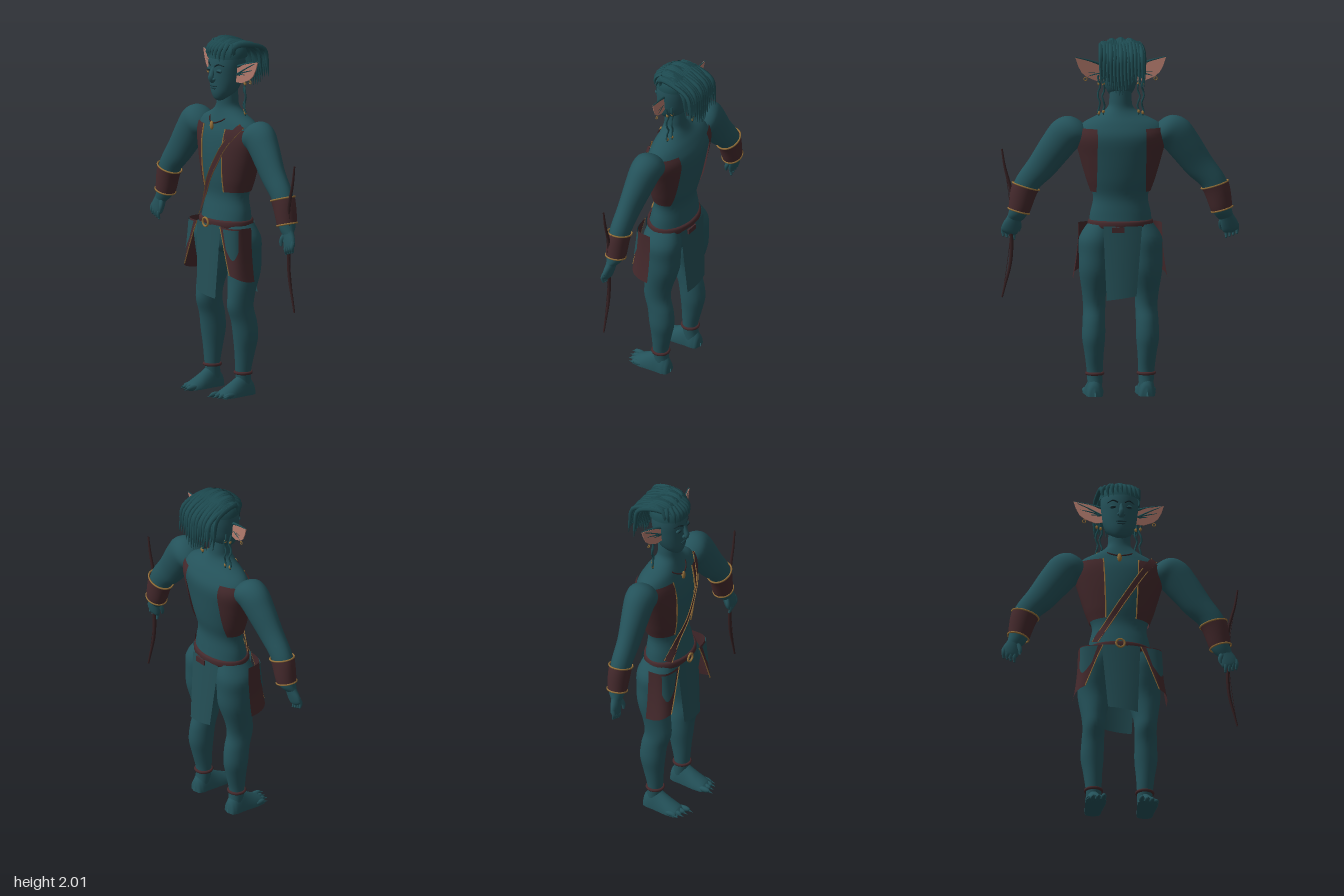
import * as THREE from 'three';

const V = (x, y, z) => new THREE.Vector3(x, y, z);
const lerp = THREE.MathUtils.lerp;

// Smooth surface through rings [cx, cy, cz, rx, rz, tilt], listed bottom to top
function surface(rings) {
  const n = rings.length;
  const at = i => rings[Math.max(0, Math.min(n - 1, i))];
  return (t, a, off = 0) => {
    const s = t * (n - 1), i = Math.min(Math.floor(s), n - 2), f = s - i;
    const c = [0, 1, 2, 3, 4, 5].map(k => {
      const [p, q, r, w] = [-1, 0, 1, 2].map(d => at(i + d)[k] || 0);
      return q + 0.5 * f * (r - p + f * (2 * p - 5 * q + 4 * r - w + f * (3 * (q - r) + w - p)));
    });
    const u = (c[3] + off) * Math.cos(a);
    return V(c[0] + u * Math.cos(c[5]), c[1] + u * Math.sin(c[5]), c[2] + (c[4] + off) * Math.sin(a));
  };
}

// Grid of points f(u, v); closed joins the v seam
function grid(f, nu, nv, closed = false) {
  const pos = [], idx = [], cols = closed ? nv : nv + 1;
  for (let i = 0; i <= nu; i++)
    for (let j = 0; j < cols; j++) pos.push(...f(i / nu, j / nv).toArray());
  for (let i = 0; i < nu; i++)
    for (let j = 0; j < nv; j++) {
      const k = (j + 1) % cols, a = i * cols, b = a + cols;
      idx.push(a + j, b + j, a + k, b + j, b + k, a + k);
    }
  const g = new THREE.BufferGeometry();
  g.setAttribute('position', new THREE.Float32BufferAttribute(pos, 3));
  g.setIndex(idx);
  g.computeVertexNormals();
  return g;
}
const loft = (f, nu, nv, t0 = 0, t1 = 1, off = 0) =>
  grid((u, v) => f(lerp(t0, t1, u), v * Math.PI * 2, off), nu, nv, true);

// Tube along points with a varying radius
function strand(points, radius, seg = 12, sides = 6) {
  const curve = new THREE.CatmullRomCurve3(points);
  const g = new THREE.TubeGeometry(curve, seg, 1, sides), p = g.attributes.position;
  for (let i = 0; i <= seg; i++) {
    const c = curve.getPointAt(i / seg), r = radius(i / seg);
    for (let j = 0; j <= sides; j++) {
      const k = i * (sides + 1) + j, q = V(0, 0, 0).fromBufferAttribute(p, k).sub(c).multiplyScalar(r).add(c);
      p.setXYZ(k, q.x, q.y, q.z);
    }
  }
  g.computeVertexNormals();
  return g;
}
const blob = (x, y, z, rx, ry, rz) => new THREE.SphereGeometry(1, 14, 10).scale(rx, ry, rz).translate(x, y, z);

function mirrored(geo) {
  const g = geo.clone().scale(-1, 1, 1), ix = g.index;
  for (let i = 0; i < ix.count; i += 3) {
    const a = ix.getX(i + 1);
    ix.setX(i + 1, ix.getX(i + 2));
    ix.setX(i + 2, a);
  }
  return g;
}

export function createModel() {
  const root = new THREE.Group();
  const mat = (name, color) => Object.assign(new THREE.MeshStandardMaterial({ color, side: THREE.DoubleSide }), { name });
  const skin = mat('teal skin', 0x24525a), hair = mat('dark teal hair', 0x1d4a50);
  const cloth = mat('teal cloth', 0x244f56), leather = mat('brown leather', 0x44292c);
  const wood = mat('dark wood', 0x342022), gold = mat('gold', 0x94703a);
  const pink = mat('pink inner ear', 0xb57c6e), dark = mat('dark eye', 0x10262b), lip = mat('dark lip', 0x1a3f46);
  const add = (name, geo, m) => {
    const mesh = new THREE.Mesh(geo, m);
    mesh.name = name;
    root.add(mesh);
  };
  const pair = (name, geo, m) => {
    add(name + 'Left', geo, m);
    add(name + 'Right', mirrored(geo), m);
  };

  // Torso and neck
  const torso = surface([
    [0, .78, -.01, .02, .02], [0, .82, -.01, .12, .09], [0, .88, -.005, .18, .11], [0, .96, -.002, .175, .118],
    [0, 1.03, -.005, .168, .108], [0, 1.12, -.01, .152, .096], [0, 1.22, -.015, .183, .113], [0, 1.35, -.022, .22, .125],
    [0, 1.46, -.03, .245, .125], [0, 1.53, -.025, .215, .1], [0, 1.58, -.015, .12, .075], [0, 1.62, -.01, .07, .062],
    [0, 1.67, -.008, .062, .06], [0, 1.74, -.005, .06, .06]]);
  add('torso', loft(torso, 52, 36), skin);
  const tAt = y => {
    let a = 0, b = 1;
    for (let i = 0; i < 25; i++) { const m = (a + b) / 2; if (torso(m, 0).y < y) a = m; else b = m; }
    return a;
  };
  const angleAt = (t, x) => Math.acos(Math.max(-1, Math.min(1, x / torso(t, 0).x)));

  // Open vest halves with stitched edges
  const vest = (u, v) => {
    const t = tAt(lerp(1.15, 1.51, u));
    return torso(t, lerp(-angleAt(t, .13), angleAt(t, lerp(.08, .095, u)), v), .009);
  };
  pair('vest', grid(vest, 20, 20), leather);
  const edge = [0, .25, .5, .75, 1];
  pair('vestTrim', strand(edge.map(u => vest(u, 1)), () => .004, 20, 5), gold);

  // Diagonal chest strap
  const strap = (u, v) => {
    const x = lerp(-.145, .19, u) - .85 * v, y = lerp(1.0, 1.535, u) + .53 * v, t = tAt(y);
    return V(x, y, torso(t, angleAt(t, x)).z + .018);
  };
  add('chestStrap', grid((u, v) => strap(u, lerp(.019, -.019, v)), 30, 2), leather);
  for (const s of [-.016, .016])
    add('strapStitching', strand([0, .2, .4, .6, .8, 1].map(u => strap(u, s).add(V(0, 0, .002))), () => .0025, 24, 4), gold);

  // Belt and buckle
  const belt = surface([[0, .948, 0, .17, .12], [0, .955, 0, .182, .13], [0, .985, 0, .18, .13], [0, .992, 0, .168, .118]]);
  add('belt', loft(belt, 8, 36), leather);
  add('buckle', new THREE.TorusGeometry(.024, .006, 8, 20).translate(-.01, .972, .137), gold);
  add('beltTab', new THREE.BoxGeometry(.07, .03, .012).translate(.02, .945, -.133), leather);

  // Loincloth front and back
  for (const s of [1, -1])
    add(s > 0 ? 'frontLoincloth' : 'backLoincloth', grid((u, v) => {
      const k = v * 2 - 1;
      return V(lerp(k * .108 - .005, k * .083 + .003, u), lerp(.965, .565 - k * .012, u),
        s * (lerp(.13, s > 0 ? .153 : .163, u) - .012 * k * k));
    }, 10, 10), cloth);

  // Flared hip panels with a cloth patch in front
  const hip = (u, a, off) => V(
    (lerp(.232, .262, u * u) + off) * Math.cos(a) ** .45, lerp(.962, .66 + .045 * Math.min(a, 1), u),
    (lerp(.122, .145, u) + off) * Math.sin(a) ** .45);
  pair('hipPanel', grid((u, v) => hip(u, lerp(0, lerp(1.4, .95, u), v), 0), 12, 16), leather);
  pair('hipPatch', grid((u, v) => hip(lerp(.03, .45 + .2 * Math.sin(v * Math.PI), u), lerp(.4, lerp(1.28, 1.1, u), v), .005), 10, 14), cloth);
  pair('hipTrim', strand(edge.map(u => hip(u, lerp(1.4, .95, u), .002)), () => .003, 16, 5), gold);

  // Legs and ankle bands
  const leg = surface([
    [.143, .04, -.02, .04, .045], [.143, .13, -.01, .044, .043], [.147, .24, -.018, .053, .059], [.15, .33, -.022, .064, .073],
    [.148, .42, -.012, .063, .076], [.145, .5, .01, .062, .079], [.145, .58, .003, .068, .082], [.138, .7, -.02, .092, .094],
    [.135, .8, -.015, .097, .106], [.13, .89, -.01, .1, .112], [.11, .97, -.005, .07, .09]]);
  pair('leg', loft(leg, 40, 24), skin);
  pair('ankleBand', new THREE.TorusGeometry(.045, .009, 8, 24).rotateX(Math.PI / 2).translate(.143, .128, -.01), leather);

  // Feet, toes and claws
  const foot = [[.155, .045, .025], [.14, .056, .04], [.09, .058, .068], [.04, .052, .1], [0, .047, .13], [-.04, .046, .11], [-.068, .036, .07], [-.077, .005, .03]];
  pair('foot', grid((u, v) => {
    const s = u * 7, i = Math.min(6, Math.floor(s)), f = s - i, a = v * Math.PI * 2;
    const [z, w, h] = foot[i].map((q, k) => lerp(q, foot[i + 1][k], f));
    return V(.145 + w * Math.cos(a), Math.max(.003, h * Math.sin(a)), z);
  }, 21, 24, true), skin);
  [[.106, .185], [.137, .172], [.166, .165], [.19, .145]].forEach(([x, z], i) => {
    pair('toe', blob(x, .016, z - .03, .015, .016, .038), skin);
    pair('claw', new THREE.ConeGeometry(.009, .04, 8).rotateX(Math.PI / 2 + .2).translate(x + i * .002, .011, z + .008), skin);
  });

  // Arms, bracers and their trims
  const arm = surface([
    [.59, .99, .012, .04, .026, .3], [.565, 1.04, 0, .053, .047, .28], [.525, 1.178, 0, .07, .055, .3], [.44, 1.285, -.002, .082, .06, .62],
    [.365, 1.39, -.01, .094, .073, .74], [.305, 1.465, -.016, .1, .083, .85], [.25, 1.49, -.018, .092, .084, 1.1], [.2, 1.48, -.02, .06, .06, 1.3], [.17, 1.47, -.02, .01, .01, 1.3]]);
  pair('arm', loft(arm, 40, 24), skin);
  pair('bracer', loft(arm, 8, 24, 1 / 8, 2 / 8, .007), leather);
  for (const t of [1 / 8, 2 / 8])
    pair('bracerTrim', strand(Array.from({ length: 17 }, (_, i) => arm(t, i * Math.PI / 8, .008)), () => .005, 32, 6), gold);

  // Hands
  const hand = surface([[.622, .905, .024, .01, .008, .3], [.617, .92, .022, .044, .018, .3], [.606, .955, .017, .048, .023, .3], [.59, 1.0, .01, .038, .026, .3], [.58, 1.04, .004, .035, .03, .3]]);
  pair('palm', loft(hand, 16, 16), skin);
  for (let i = 0; i < 4; i++) {
    const x = .586 + i * .02, y = .915 + i * .007;
    pair('finger', strand([V(x, y + .02, .02), V(x + .005, y - .012, .03), V(x + .003, y - .036, .025)], t => .0125 - .006 * t * t, 8, 8), skin);
    pair('fingertip', blob(x + .003, y - .036, .025, .007, .007, .007), skin);
  }
  pair('thumb', strand([V(.57, .985, .02), V(.558, .95, .035), V(.562, .92, .04)], t => .015 - .009 * t * t, 8, 8), skin);

  // Bow held in the left hand
  const bow = [[.657, 1.385], [.642, 1.29], [.607, 1.15], [.6, 1.05], [.608, .95], [.603, .85], [.611, .74], [.64, .62], [.656, .555]];
  add('bow', strand(bow.map(([x, y]) => V(x, y, .018)), t => .005 + .006 * Math.sin(t * Math.PI), 40, 8), wood);
  add('bowString', strand([V(.655, 1.375, .018), V(.614, 1.08, .02), V(.612, .96, .02), V(.614, .86, .02), V(.653, .565, .018)], () => .0015, 24, 4), wood);

  // Head and face
  const head = surface([
    [0, 1.652, .045, .01, .01], [0, 1.665, .04, .038, .035], [0, 1.7, .018, .07, .07], [0, 1.75, .004, .09, .088], [0, 1.81, -.002, .1, .097],
    [0, 1.87, -.005, .105, .1], [0, 1.93, -.01, .098, .094], [0, 1.97, -.012, .065, .065], [0, 1.985, -.012, .01, .01]]);
  add('head', loft(head, 32, 28), skin);
  add('nose', strand([V(0, 1.85, .085), V(0, 1.81, .1), V(0, 1.783, .108), V(0, 1.77, .09)], t => .009 + .009 * t, 10, 8), skin);
  pair('nostril', blob(.014, 1.778, .095, .01, .009, .012), skin);
  pair('eyelid', blob(.042, 1.828, .08, .023, .013, .012), skin);
  pair('eye', blob(.042, 1.825, .086, .017, .006, .008), dark);
  pair('eyebrow', strand([V(.018, 1.852, .092), V(.045, 1.866, .088), V(.074, 1.856, .067)], t => .005 - .003 * t, 8, 6), dark);
  add('upperLip', blob(0, 1.74, .087, .03, .007, .011), lip);
  add('lowerLip', blob(0, 1.727, .084, .025, .008, .011), lip);

  // Pointed ears with dark ribs
  const tips = [[.252, 1.9], [.238, 1.855], [.218, 1.815], [.19, 1.79]];
  const shape = new THREE.Shape([[.09, 1.765], [.135, 1.765], [.19, 1.79], [.218, 1.815], [.238, 1.855], [.252, 1.9], [.17, 1.878], [.09, 1.85]].map(p => new THREE.Vector2(...p)));
  const earZ = x => -.004 - (x - .1) * .2;
  const earGeo = new THREE.ExtrudeGeometry(shape, { depth: .006, bevelEnabled: false });
  earGeo.setIndex([...Array(earGeo.attributes.position.count).keys()]);
  const ep = earGeo.attributes.position;
  for (let i = 0; i < ep.count; i++) ep.setZ(i, ep.getZ(i) + earZ(ep.getX(i)));
  earGeo.computeVertexNormals();
  pair('ear', earGeo, pink);
  for (const [x, y] of tips)
    pair('earRib', strand([V(.1, 1.81, .002), V((x + .1) / 2, (y + 1.815) / 2, earZ(.17) + .005), V(x, y, earZ(x) + .003)], t => .005 - .003 * t, 8, 6), hair);
  pair('earRim', strand([V(.09, 1.85, 0), V(.17, 1.88, earZ(.17)), V(.252, 1.902, earZ(.25))], t => .009 - .007 * t, 10, 6), hair);
  pair('earring', new THREE.TorusGeometry(.009, .0025, 6, 14).translate(.195, 1.778, -.02), gold);

  // Hair cap and swept-back hanging locks
  add('hairCap', loft(head, 12, 28, .68, 1, .01), hair);
  for (let i = 0; i < 26; i++) {
    const k = i / 25 * 2 - 1, w = Math.sin(i * 12.9), q = Math.cos(i * 7.3), back = i % 2 ? -.195 : -.155;
    add('lock', strand([
      V(k * .09, 1.925 - .02 * k * k + .01 * w, .08 - .06 * k * k), V(k * .1, 1.985 - .03 * k * k + .008 * q, .02), V(k * .112, 1.978 - .015 * k * k + .008 * w, -.07),
      V(k * .12, 1.92 + .012 * q, back + .02), V(k * .122, 1.83, back), V(k * .12 + .004 * w, 1.745 + .035 * w, back - .008)
    ], t => .014 * (1 - t ** 4) + .001, 18, 6), hair);
  }
  for (let i = 0; i < 9; i++) {
    const x = (i - 4) * .025, z = .093 * Math.sqrt(1 - (x / .112) ** 2);
    add('fringeLock', strand([V(x * .8, 1.975, z * .5), V(x, 1.945, z), V(x + .006, 1.9 + .012 * Math.sin(i * 5), z + .008)], t => .013 * (1 - t * t) + .001, 8, 6), hair);
  }

  // Beaded side braids
  [[.098, .055], [.122, .04]].forEach(([x, z], b) => {
    const end = 1.6 - b * .01;
    pair('braid', strand(Array.from({ length: 8 }, (_, i) => V(x + .007 * Math.sin(i * 1.9 + b), lerp(1.8, end, i / 7), -z + .004 * Math.cos(i * 2))), () => .0055, 28, 6), hair);
    for (const y of [1.755, end]) pair('bead', blob(x, y, -z, .008, .011, .008), gold);
    pair('braidTip', new THREE.ConeGeometry(.006, .03, 6).rotateX(Math.PI).translate(x, end - .02, -z), hair);
  });

  // Necklace
  add('necklaceCord', strand([V(-.085, 1.59, .01), V(-.065, 1.55, .065), V(-.01, 1.528, .09), V(.055, 1.55, .068), V(.08, 1.59, .01)], () => .004, 24, 6), wood);
  add('pendant', blob(-.01, 1.515, .093, .013, .025, .01), gold);

  return root;
}
